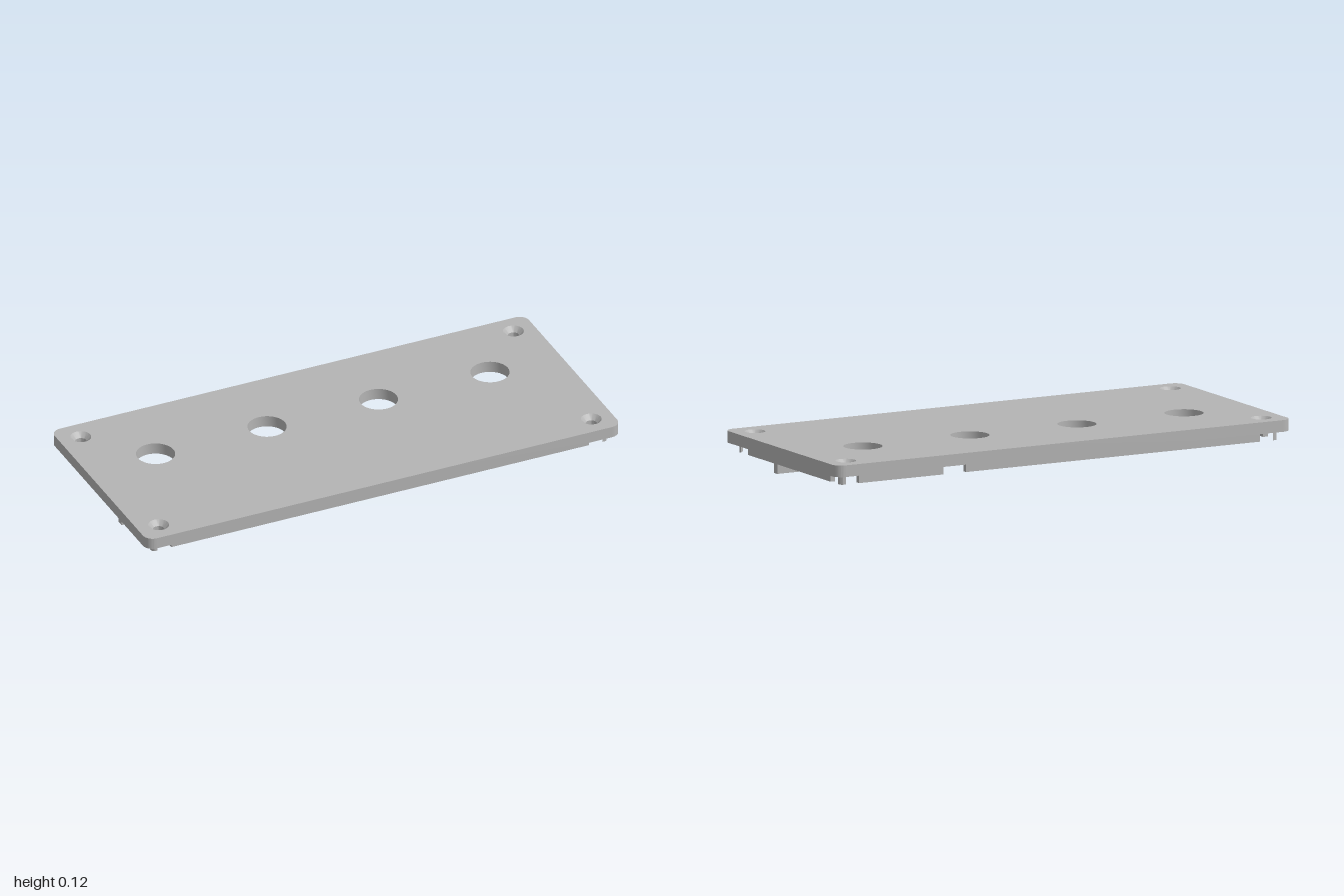
import * as THREE from 'three';
import { toCreasedNormals } from 'three/addons/utils/BufferGeometryUtils.js';

const HALF_X = 1, HALF_Z = 0.44, CORNER = 0.04;
const TOP = 0.12, PLATE_BOTTOM = 0.0745, LIP_BOTTOM = 0.037;
const LIP_X = 0.96, LIP_Z = 0.4, LIP_T = 0.02;

export function createModel() {
  const model = new THREE.Group();
  model.name = 'coverPlate';
  const grey = new THREE.MeshStandardMaterial({ color: 0xb4b4b4 });
  grey.name = 'plain grey';

  function add(name, geometry) {
    const mesh = new THREE.Mesh(geometry, grey);
    mesh.name = name;
    model.add(mesh);
    return mesh;
  }

  // Extrudes a plan shape (shape y = -z) between two heights
  function slab(shape, y0, y1) {
    const g = new THREE.ExtrudeGeometry(shape, { depth: y1 - y0, bevelEnabled: false, curveSegments: 20 });
    g.rotateX(-Math.PI / 2).translate(0, y0, 0);
    return toCreasedNormals(g, 0.6);
  }

  function block(name, x0, x1, y0, y1, z0, z1) {
    const g = new THREE.BoxGeometry(x1 - x0, y1 - y0, z1 - z0);
    add(name, g.translate((x0 + x1) / 2, (y0 + y1) / 2, (z0 + z1) / 2));
  }

  // Rounded plate with four large holes and four screw openings
  const outline = new THREE.Shape();
  const cx = HALF_X - CORNER, cz = HALF_Z - CORNER;
  outline.absarc(cx, cz, CORNER, 0, Math.PI / 2);
  outline.absarc(-cx, cz, CORNER, Math.PI / 2, Math.PI);
  outline.absarc(-cx, -cz, CORNER, Math.PI, Math.PI * 1.5);
  outline.absarc(cx, -cz, CORNER, Math.PI * 1.5, Math.PI * 2);
  const cutHole = (x, z, r) => {
    outline.holes.push(new THREE.Path().absarc(x, -z, r, 0, Math.PI * 2, true));
  };
  for (const x of [-0.705, -0.235, 0.235, 0.705]) cutHole(x, -0.12, 0.075);

  const screws = [];
  for (const sx of [-1, 1]) for (const sz of [-1, 1]) screws.push([sx * 0.912, sz * 0.353]);
  for (const [x, z] of screws) cutHole(x, z, 0.04);
  add('plate', slab(outline, PLATE_BOTTOM, TOP));

  // Countersunk seats lining the screw openings
  const seatProfile = [[0.04, TOP], [0.022, TOP - 0.02], [0.022, PLATE_BOTTOM], [0.04, PLATE_BOTTOM]]
    .map(([r, y]) => new THREE.Vector2(r, y));
  const seat = toCreasedNormals(new THREE.LatheGeometry(seatProfile, 40), 0.6);
  for (const [x, z] of screws) add('screwSeat', seat).position.set(x, 0, z);

  // Locating lips beneath the plate; the back one has a gap
  block('frontLip', -0.88, 0.88, LIP_BOTTOM, PLATE_BOTTOM, LIP_Z - LIP_T, LIP_Z);
  block('backLipLong', -0.88, 0.41, LIP_BOTTOM, PLATE_BOTTOM, -LIP_Z, -LIP_Z + LIP_T);
  block('backLipShort', 0.51, 0.88, LIP_BOTTOM, PLATE_BOTTOM, -LIP_Z, -LIP_Z + LIP_T);
  block('leftLip', LIP_X - LIP_T, LIP_X, LIP_BOTTOM, PLATE_BOTTOM, -0.32, 0.32);
  block('rightLip', -LIP_X, -LIP_X + LIP_T, LIP_BOTTOM, PLATE_BOTTOM, -0.32, 0.32);

  // Small rounded stubs at the lip corners
  const stubShape = new THREE.Shape();
  stubShape.moveTo(-0.022, 0);
  stubShape.lineTo(0, -0.022);
  stubShape.lineTo(0, -0.014);
  stubShape.absarc(-0.014, -0.014, 0.014, 0, Math.PI / 2);
  stubShape.closePath();
  const stub = slab(stubShape, LIP_BOTTOM, PLATE_BOTTOM);
  const corners = [[1, -1], [-1, -1], [-1, 1], [1, 1]];
  corners.forEach(([sx, sz], i) => {
    const mesh = add('cornerStub', stub);
    mesh.position.set(sx * LIP_X, 0, sz * LIP_Z);
    mesh.rotation.y = i * Math.PI / 2;
  });

  // Full-length rail under the plate
  block('rail', -LIP_X, LIP_X, 0, PLATE_BOTTOM, 0.094, 0.121);

  return model;
}
